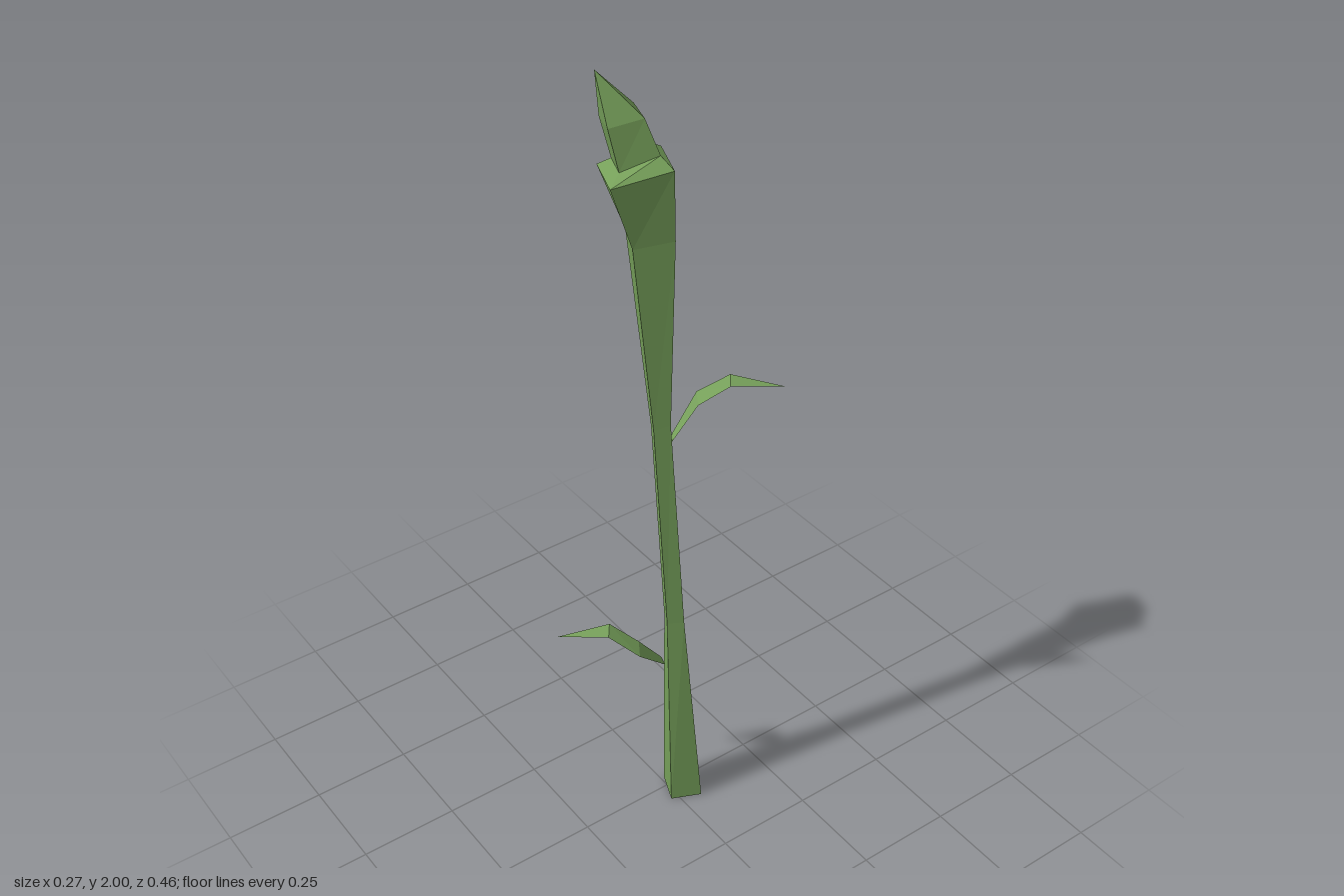
import * as THREE from 'three';

// Skin a list of closed rings (each a list of [x, y, z]) and close both ends.
function loft(rings, material) {
  const n = rings[0].length;
  const pos = [];
  const tri = (a, b, c) => pos.push(...a, ...b, ...c);
  for (let r = 0; r < rings.length - 1; r++) {
    for (let i = 0; i < n; i++) {
      const j = (i + 1) % n;
      const lo = rings[r], hi = rings[r + 1];
      tri(lo[i], hi[i], lo[j]);
      tri(lo[j], hi[i], hi[j]);
    }
  }
  const first = rings[0], last = rings[rings.length - 1];
  for (let i = 1; i < n - 1; i++) {
    tri(first[0], first[i], first[i + 1]);
    tri(last[0], last[i + 1], last[i]);
  }
  const geo = new THREE.BufferGeometry();
  geo.setAttribute('position', new THREE.Float32BufferAttribute(pos, 3));
  geo.computeVertexNormals();
  return new THREE.Mesh(geo, material);
}

export function createModel() {
  const model = new THREE.Group();
  const green = new THREE.MeshStandardMaterial({ color: 0x76a05a, flatShading: true });
  const add = (name, mesh) => { mesh.name = name; model.add(mesh); return mesh; };

  // Leaning four-sided stalk; corners run right, front, left, back
  const stalk = [
    [[0.078, 0, -0.052], [0.046, 0, 0.02], [-0.028, 0, -0.01], [0.004, 0, -0.081]],
    [[0.042, 0.58, -0.02], [0.022, 0.58, 0.016], [-0.012, 0.58, 0], [0.005, 0.58, -0.038]],
    [[0.022, 1.16, 0.006], [0.005, 1.15, 0.041], [-0.026, 1.14, 0.026], [-0.01, 1.15, -0.009]],
    [[0.03, 1.63, 0], [-0.008, 1.62, 0.083], [-0.09, 1.62, 0.044], [-0.054, 1.63, -0.046]],
    [[0.04, 1.8, 0.01], [-0.01, 1.775, 0.135], [-0.135, 1.765, 0.083], [-0.082, 1.79, -0.044]],
    [[0.008, 1.825, 0.022], [-0.028, 1.795, 0.1], [-0.1, 1.79, 0.07], [-0.07, 1.815, -0.006]],
  ];
  add('stalk', loft(stalk, green));

  // Pointed bud rising from the collar
  const tip = [-0.09, 2, 0.113];
  const bud = [
    stalk[5],
    [[-0.014, 1.905, 0.045], [-0.044, 1.89, 0.115], [-0.112, 1.885, 0.09], [-0.085, 1.905, 0.022]],
    [tip, tip, tip, tip],
  ];
  add('bud', loft(bud, green));

  // Arching keeled leaf; the lower one is the same leaf turned half round
  const leafTip = [0.132, 1.23, -0.232];
  const leaf = [
    [[0.024, 1.12, 0], [0.002, 1.12, -0.012], [0.014, 1.1, 0.004]],
    [[0.035, 1.195, -0.06], [-0.012, 1.195, -0.09], [0.014, 1.18, -0.078]],
    [[0.08, 1.248, -0.115], [0.04, 1.248, -0.145], [0.062, 1.238, -0.132]],
    [leafTip, leafTip, leafTip],
  ];
  add('upperLeaf', loft(leaf, green));
  const lower = add('lowerLeaf', loft(leaf, green));
  lower.rotation.y = Math.PI;
  lower.position.y = -0.69;

  return model;
}
